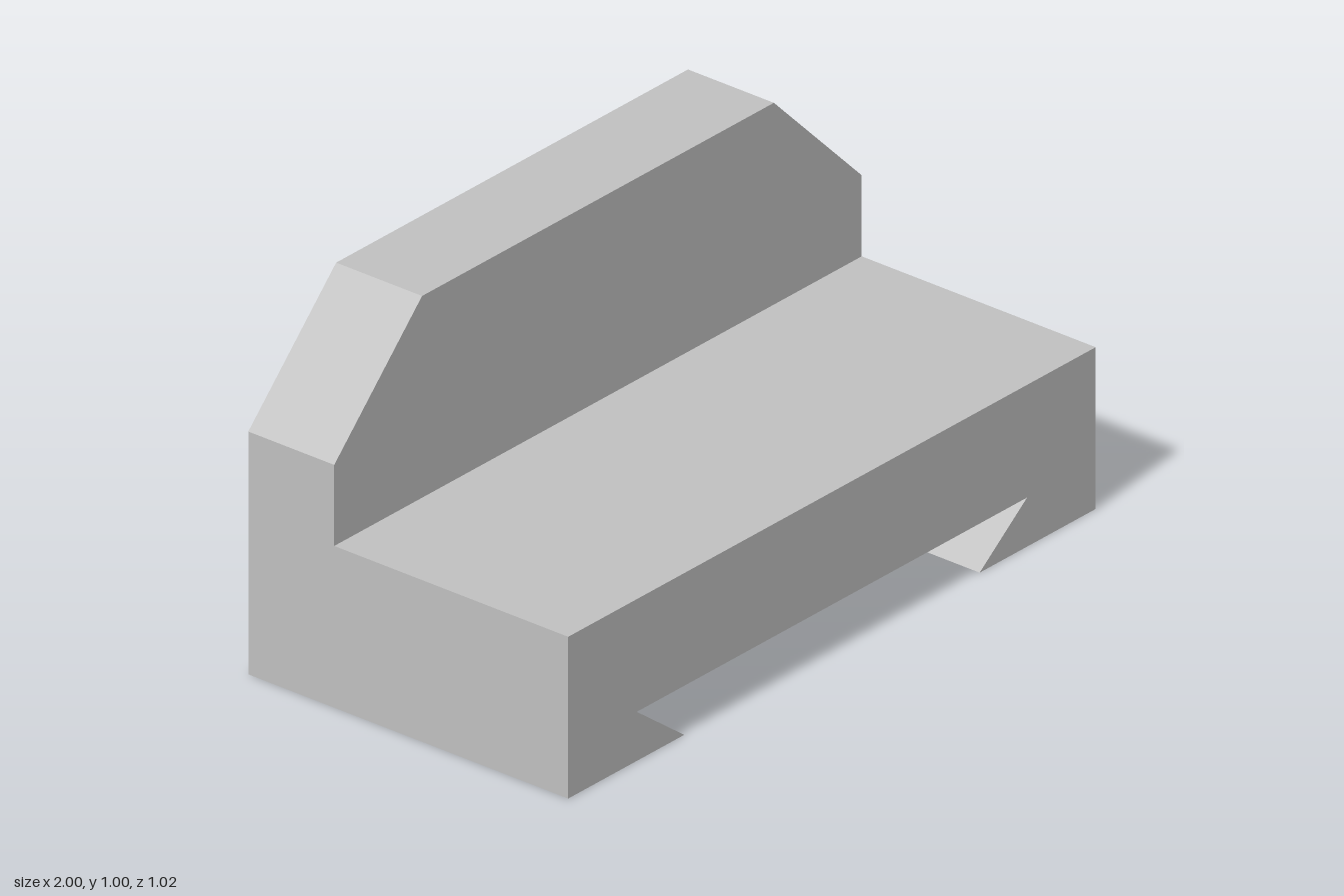
import * as THREE from 'three';

const BACK = -0.51, FRONT = 0.51, STEP = -0.236, LEDGE = 0.445;

// Extrudes a front outline, mirrored from its right half, between two depths
function mirroredBlock(name, half, z0, z1, material) {
  const mirrored = half.map(([x, y]) => [-x, y]).reverse();
  const points = [...half, ...mirrored].map(([x, y]) => new THREE.Vector2(x, y));
  const geometry = new THREE.ExtrudeGeometry(new THREE.Shape(points), { depth: z1 - z0, bevelEnabled: false });
  geometry.translate(0, 0, z0);
  const mesh = new THREE.Mesh(geometry, material);
  mesh.name = name;
  return mesh;
}

export function createModel() {
  const group = new THREE.Group();
  group.name = 'dovetailJawBlock';
  const grey = new THREE.MeshStandardMaterial({ color: 0xc0c0c0 });
  grey.name = 'plain grey';

  // Base with a dovetail slot running front to back underneath
  group.add(mirroredBlock('dovetailBase',
    [[0.74, 0.135], [0.56, 0], [1, 0], [1, LEDGE]], BACK, FRONT, grey));

  // Upright wall at the back with chamfered top corners
  group.add(mirroredBlock('backWall',
    [[1, LEDGE], [1, 0.668], [0.667, 1]], BACK, STEP, grey));

  return group;
}
